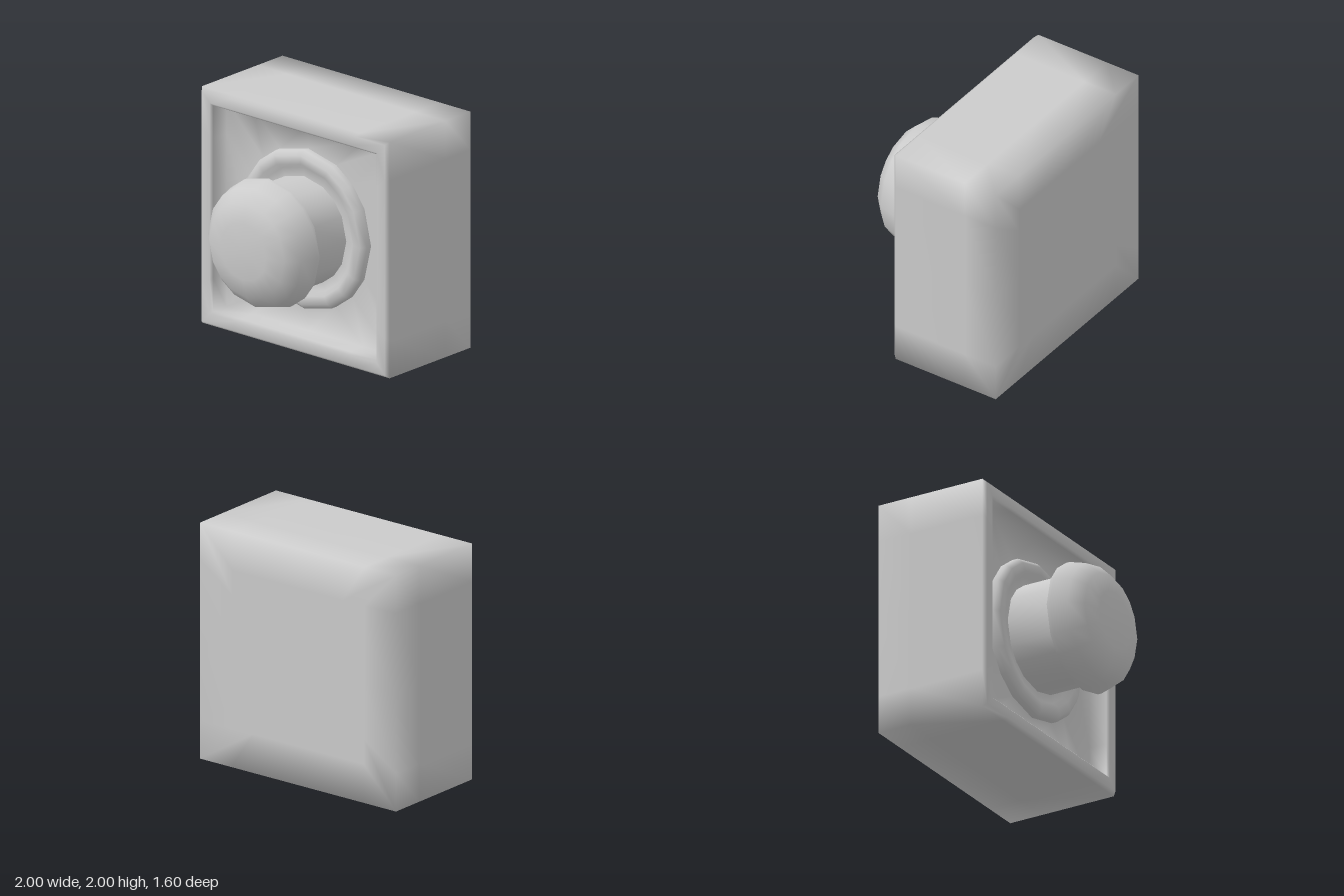
import * as THREE from 'three';

// 16 loop directions on a unit square; "inset" places the points beside each corner
function squareLoop(inset) {
  const side = [[1, -inset], [1, 0], [1, inset], [1, 1]];
  const points = [];
  for (let k = 0; k < 4; k++) {
    for (const [a, b] of side) {
      let x = a, y = b;
      for (let n = 0; n < k; n++) [x, y] = [-y, x];
      points.push([x, y]);
    }
  }
  return points;
}

const SQUARE = squareLoop(0.68);
const CIRCLE = squareLoop(0.5).map(([x, y]) => {
  const l = Math.hypot(x, y);
  return [x / l, y / l];
});

// Skins loops [shape, size, z] from back to front; a repeated loop makes a sharp edge
function loft(loops) {
  const pos = [], index = [], n = 16;
  for (const [shape, size, z] of loops) {
    for (const [x, y] of shape) pos.push(x * size, y * size, z);
  }
  for (let i = 0; i < loops.length - 1; i++) {
    const [s0, r0, z0] = loops[i], [s1, r1, z1] = loops[i + 1];
    if (s0 === s1 && r0 === r1 && z0 === z1) continue;
    for (let j = 0; j < n; j++) {
      const a = i * n + j, b = i * n + (j + 1) % n, c = b + n, d = a + n;
      if (r0 > 0) index.push(a, b, r1 > 0 ? c : d);
      if (r1 > 0) index.push(a, c, d);
    }
  }
  const g = new THREE.BufferGeometry();
  g.setAttribute('position', new THREE.Float32BufferAttribute(pos, 3));
  g.setIndex(index);
  g.computeVertexNormals();
  return g;
}

export function createModel() {
  const group = new THREE.Group();
  const material = new THREE.MeshStandardMaterial({ color: 0xcccccc, side: THREE.DoubleSide });

  const add = (name, loops) => {
    const mesh = new THREE.Mesh(loft(loops), material);
    mesh.name = name;
    mesh.position.y = 1;
    group.add(mesh);
  };

  // Square case with softened shading, thin rim and recessed floor
  add('housing', [
    [SQUARE, 0.02, -0.8],
    [SQUARE, 0.67, -0.8],
    [SQUARE, 1, -0.8],
    [SQUARE, 1, -0.5],
    [SQUARE, 1, 0.17],
    [SQUARE, 0.975, 0.2],
    [SQUARE, 0.89, 0.2],
    [SQUARE, 0.87, 0.18],
    [SQUARE, 0.87, 0.02],
    [CIRCLE, 0.67, 0.02],
  ]);
  add('backCentre', [[SQUARE, 0, -0.8], [SQUARE, 0.02, -0.8]]);

  // Raised collar on the recess floor
  add('collar', [
    [CIRCLE, 0.67, 0.02],
    [CIRCLE, 0.67, 0.07],
    [CIRCLE, 0.63, 0.11],
    [CIRCLE, 0.56, 0.11],
    [CIRCLE, 0.52, 0.07],
    [CIRCLE, 0.44, 0.07],
  ]);

  // Stem between collar and button
  add('stem', [[CIRCLE, 0.45, 0.05], [CIRCLE, 0.45, 0.49]]);

  // Domed button with a flat underside
  add('button', [
    [CIRCLE, 0, 0.49],
    [CIRCLE, 0.54, 0.49],
    [CIRCLE, 0.54, 0.49],
    [CIRCLE, 0.54, 0.52],
    [CIRCLE, 0.5, 0.66],
    [CIRCLE, 0.4, 0.76],
    [CIRCLE, 0.24, 0.8],
    [CIRCLE, 0, 0.8],
  ]);

  return group;
}
